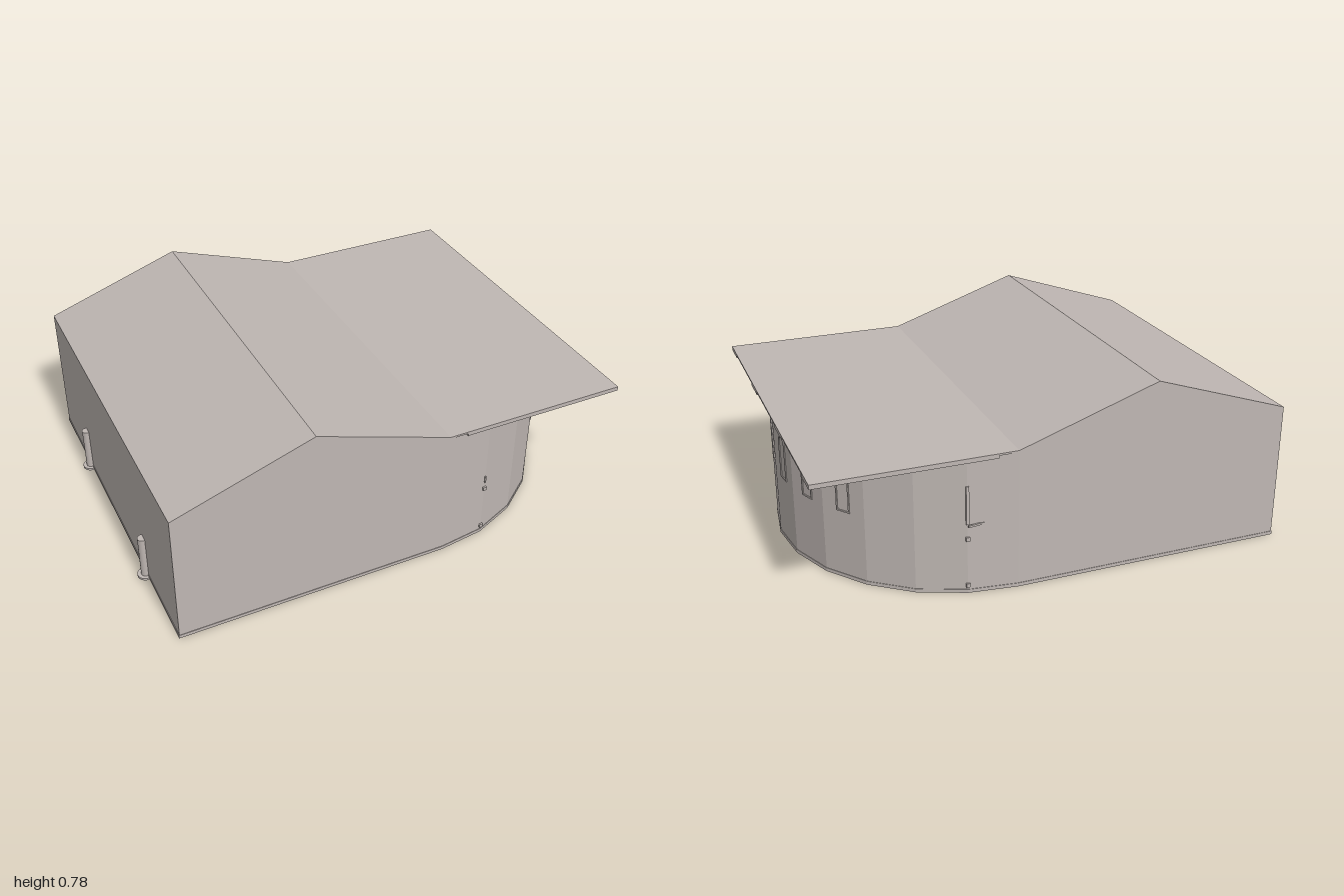
import * as THREE from 'three';

const R = 0.775, CX = 0.2, EAVE = 0.585, BACK = -0.96;
const STEP = Math.PI / 12;

export function createModel() {
  const model = new THREE.Group();
  const stone = new THREE.MeshStandardMaterial({ color: 0xbfb7b3 });
  stone.name = 'warm grey stone';

  const add = (name, geometry, x = 0, y = 0, z = 0, parent = model) => {
    const mesh = new THREE.Mesh(geometry, stone);
    mesh.name = name;
    mesh.position.set(x, y, z);
    parent.add(mesh);
    return mesh;
  };
  const extrude = (shape, depth) =>
    new THREE.ExtrudeGeometry(shape, { depth, bevelEnabled: false, curveSegments: 8 });
  const polygon = (points) => new THREE.Shape(points.map(([x, y]) => new THREE.Vector2(x, y)));

  // Gabled hall
  const gable = polygon([[BACK, 0], [CX, 0], [CX, EAVE], [-0.38, 0.78], [BACK, EAVE]]);
  add('gabledHall', extrude(gable, R * 2), 0, 0, -R);

  // Twelve-sided half-round end
  const arc = (r) => Array.from({ length: 13 }, (_, i) => {
    const a = -Math.PI / 2 + i * STEP;
    return [CX + r * Math.cos(a), r * Math.sin(a)];
  });
  add('roundedEnd', extrude(polygon(arc(R)), 0.58).rotateX(-Math.PI / 2));

  // Low plinth following the footprint
  const r = R + 0.002;
  const plinth = polygon([[BACK - 0.002, -r], ...arc(r), [BACK - 0.002, r]]);
  add('plinth', extrude(plinth, 0.015).rotateX(-Math.PI / 2));

  // Flat roof sheet with four shallow beams beneath
  add('flatRoof', new THREE.BoxGeometry(0.8, 0.008, R * 2), 0.6, EAVE - 0.004, 0);
  for (const s of [-1, 1]) {
    add('outerRoofBeam', new THREE.BoxGeometry(0.72, 0.012, 0.115), 0.64, 0.572, s * 0.717);
    add('innerRoofBeam', new THREE.BoxGeometry(0.72, 0.012, 0.12), 0.64, 0.572, s * 0.24);
  }

  // Arched window frames, one on each of the six end facets
  const arch = (w, y0, y1) => {
    const s = new THREE.Shape();
    s.moveTo(-w, y0);
    s.lineTo(w, y0);
    s.lineTo(w, y1 - w);
    s.absarc(0, y1 - w, w, 0, Math.PI, false);
    s.closePath();
    return s;
  };
  const frame = arch(0.032, 0.295, 0.487);
  frame.holes.push(arch(0.026, 0.301, 0.481));
  const frameGeometry = extrude(frame, 0.004);
  const apothem = R * Math.cos(STEP / 2);
  for (let i = 3; i < 9; i++) {
    const a = (i + 0.5) * STEP;
    const win = add('archedWindowFrame', frameGeometry,
      CX + apothem * Math.sin(a), 0, apothem * Math.cos(a));
    win.rotation.y = a;
  }

  // Small wall fittings beside the curve
  for (const s of [-1, 1]) {
    for (const y of [0.035, 0.237]) {
      add('wallFitting', new THREE.BoxGeometry(0.016, 0.016, 0.012), 0.4, y, s * 0.75);
    }
  }
  add('frontWallBar', new THREE.BoxGeometry(0.006, 0.03, 0.008), 0.4, 0.285, 0.75);
  add('backWallBar', new THREE.BoxGeometry(0.012, 0.16, 0.01), 0.4, 0.38, -0.75);
  const sill = add('backWallSill', new THREE.BoxGeometry(0.1, 0.008, 0.008), 0.352, 0.297, -0.757);
  sill.rotation.y = STEP / 2;

  // Downpipe posts with round feet on the straight side
  for (const z of [-0.39, 0.39]) {
    const post = new THREE.Group();
    post.name = 'sidePost';
    post.position.set(-0.965, 0, z);
    add('postShaft', new THREE.CylinderGeometry(0.02, 0.02, 0.2, 16), 0, 0.1, 0, post);
    add('postFoot', new THREE.CylinderGeometry(0.035, 0.035, 0.01, 20), 0, 0.005, 0, post);
    model.add(post);
  }
  return model;
}
